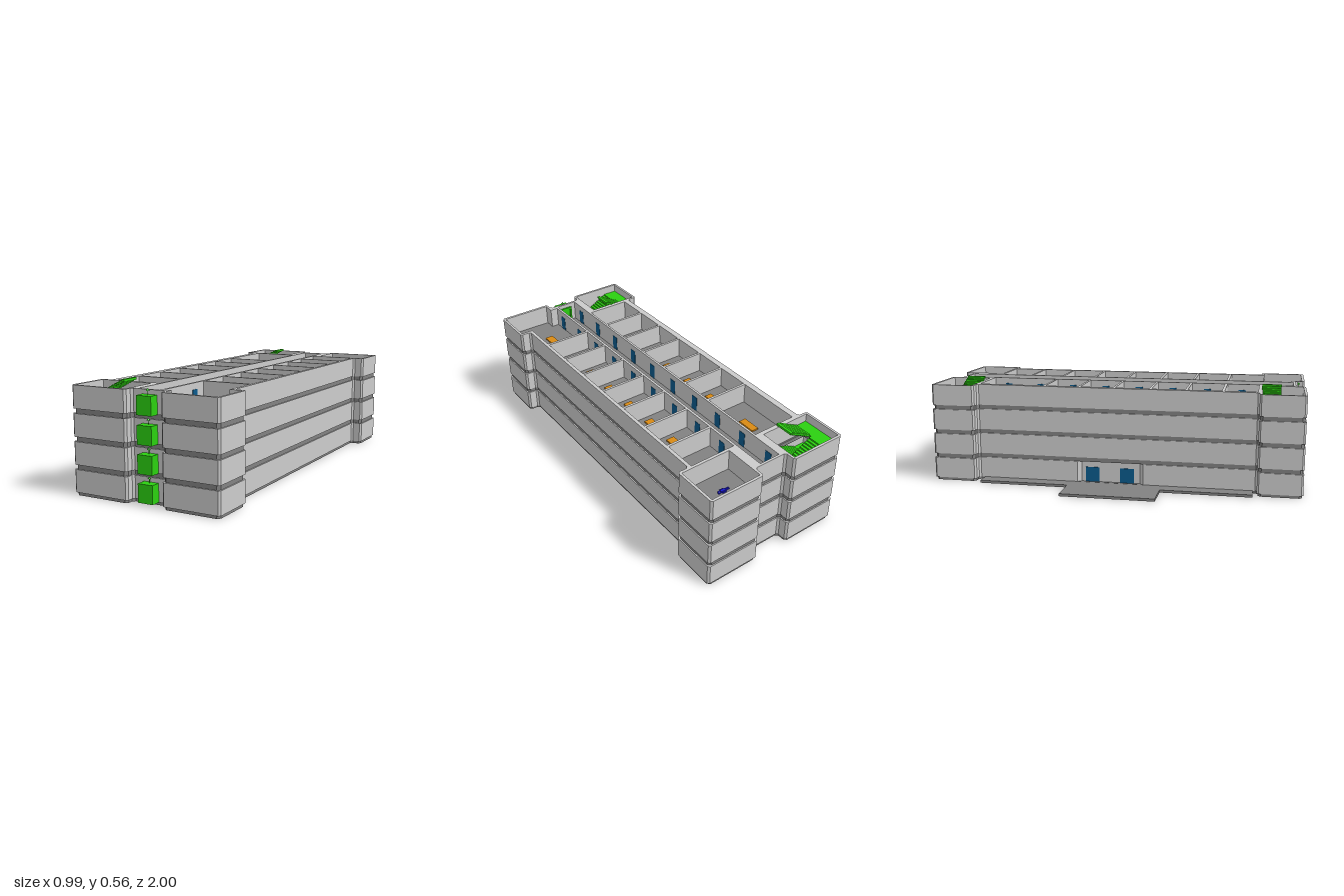
import * as THREE from 'three';

const mat = (color) => new THREE.MeshStandardMaterial({ color, flatShading: true });
const wallMat = mat(0xcccccc), slabMat = mat(0x828282), green = mat(0x2bd010);
const blue = mat(0x0a5a8c), orange = mat(0xd98a14), red = mat(0xe01818), deepBlue = mat(0x1818d8);
const FLOORS = 4, PITCH = 0.135, SLAB = 0.015, WALL_H = 0.112;

function mesh(name, geometry, material, x = 0, y = 0, z = 0) {
  const m = new THREE.Mesh(geometry, material);
  m.name = name;
  m.position.set(x, y, z);
  return m;
}
const box = (name, material, w, h, d, x, y, z) => mesh(name, new THREE.BoxGeometry(w, h, d), material, x, y, z);

// Plan outline as [x, z] corners; the ground floor has a shallow entrance recess
function outline(recessed) {
  const recess = recessed ? [[-0.236, -0.19], [-0.236, 0.15]] : [];
  const west = recessed ? [[-0.255, -0.19], ...recess, [-0.255, 0.15]] : [];
  return [
    [-0.31, 0.995], [0, 0.995], [0, 0.945], [0.19, 0.945], [0.19, 0.995], [0.49, 0.995],
    [0.49, 0.755], [0.43, 0.755], [0.43, -0.755], [0.49, -0.755], [0.49, -1], [0.187, -1],
    [0.187, -0.94], [0, -0.94], [0, -1], [-0.31, -1], [-0.31, -0.76], [-0.255, -0.76],
    ...west, [-0.255, 0.76], [-0.31, 0.76],
  ];
}

// Offsets a right-angled outline inwards
function inset(pts, d) {
  const n = pts.length;
  return pts.map((p, i) => {
    const a = pts[(i + n - 1) % n], b = pts[(i + 1) % n];
    const inward = (s, e) => [Math.sign(e[1] - s[1]), -Math.sign(e[0] - s[0])];
    const u = inward(a, p), v = inward(p, b);
    return [p[0] + d * (u[0] + v[0]), p[1] + d * (u[1] + v[1])];
  });
}

// Cuts every corner by c
function chamfer(pts, c) {
  const n = pts.length;
  return pts.flatMap((p, i) => [pts[(i + n - 1) % n], pts[(i + 1) % n]].map((q) => {
    const t = c / Math.hypot(q[0] - p[0], q[1] - p[1]);
    return [p[0] + (q[0] - p[0]) * t, p[1] + (q[1] - p[1]) * t];
  }));
}

const toPoints = (pts) => pts.map(([x, z]) => new THREE.Vector2(x, -z));
const rect = (x0, x1, z0, z1) => [[x0, z0], [x1, z0], [x1, z1], [x0, z1]];

// Raises a plan with openings into a solid
function raise(pts, holes, height) {
  const shape = new THREE.Shape(toPoints(pts));
  holes.forEach((h) => shape.holes.push(new THREE.Path(toPoints(h))));
  return new THREE.ExtrudeGeometry(shape, { depth: height, bevelEnabled: false }).rotateX(-Math.PI / 2);
}

// Room spans along z on each side of the corridor
const SHARED = [[-0.38, -0.2], [-0.187, -0.01], [0.003, 0.185], [0.198, 0.375], [0.388, 0.565]];
const LEFT = [[-0.75, -0.393], ...SHARED, [0.58, 0.75]];
const RIGHT = [[-0.567, -0.393], ...SHARED];
const ROOMS = [
  ...LEFT.map(([a, b]) => rect(-0.222, 0.02, a, b)),
  ...RIGHT.map(([a, b]) => rect(0.16, 0.412, a, b)),
  rect(0.16, 0.412, -0.755, -0.58),
  rect(0.2, 0.477, -0.987, -0.77),
  [[0.16, 0.58], [0.412, 0.58], [0.412, 0.77], [0.477, 0.77], [0.477, 0.98], [0.203, 0.98], [0.203, 0.92], [0.16, 0.92]],
  rect(0.032, 0.147, -0.928, 0.932),
  rect(-0.297, -0.012, 0.773, 0.982),
  rect(-0.297, -0.012, -0.987, -0.773),
];

// Two flights and a half landing; side = 1 for the front tower, -1 for the back
function stairs(side) {
  const g = new THREE.Group();
  g.name = side > 0 ? 'frontStairs' : 'backStairs';
  const n = 9, run = 0.13 / n, rise = PITCH / 2 / n;
  for (let i = 0; i < n; i++) {
    const low = rise * (i + 1), high = PITCH / 2 + low;
    g.add(box('lowerStep', green, run, 0.012, 0.108, -0.1 - run * (i + 0.5), low - 0.006, side * 0.933));
    g.add(box('upperStep', green, run, 0.012, 0.1, -0.23 + run * (i + 0.5), high - 0.006, side * 0.817));
  }
  g.add(box('landing', green, 0.074, 0.01, 0.22, -0.267, PITCH / 2 - 0.005, side * 0.877));
  return g;
}

// Green box on the front wall with an upward arrow and an inner frame
function lift() {
  const g = new THREE.Group();
  g.name = 'lift';
  g.add(box('liftBox', green, 0.08, 0.09, 0.065, 0.1, 0.045, 0.9625));
  g.add(mesh('arrowShaft', new THREE.CylinderGeometry(0.002, 0.002, 0.022, 8), green, 0.1, 0.1, 0.96));
  g.add(mesh('arrowHead', new THREE.ConeGeometry(0.008, 0.012, 12), green, 0.1, 0.115, 0.96));
  for (const s of [-1, 1]) {
    g.add(box('framePost', green, 0.01, 0.09, 0.01, 0.1 + s * 0.036, 0.045, 0.927));
    g.add(box('frameRail', green, 0.062, 0.01, 0.01, 0.1, 0.045 + s * 0.04, 0.927));
  }
  return g;
}

// Small pictogram figure lying on the floor
function figure(name, material, z) {
  const g = new THREE.Group();
  g.name = name;
  g.add(mesh('head', new THREE.SphereGeometry(0.008, 10, 8), material, 0.026, 0, 0));
  g.add(box('body', material, 0.026, 0.008, 0.012, 0.004, 0, 0));
  for (const s of [-1, 1]) {
    g.add(box('arm', material, 0.022, 0.006, 0.004, 0.004, 0, s * 0.011));
    g.add(box('leg', material, 0.024, 0.006, 0.005, -0.02, 0, s * 0.0035));
  }
  g.position.set(0.32, 0.006, z);
  return g;
}

export function createModel() {
  const model = new THREE.Group();
  model.name = 'building';
  const slabPlan = chamfer(inset(outline(false), 0.006), 0.014);
  const wells = [rect(-0.29, -0.1, 0.78, 0.98), rect(-0.29, -0.1, -0.98, -0.78)];
  const mid = (r) => (r[0] + r[1]) / 2;

  for (let k = 0; k < FLOORS; k++) {
    const floor = new THREE.Group();
    floor.name = 'storey' + (k + 1);
    floor.position.y = k * PITCH + SLAB;

    // Floor slab, set back from the walls, and the walls with their rooms
    const thick = k ? PITCH - WALL_H : SLAB;
    floor.add(mesh('floorSlab', raise(slabPlan, k ? wells : [], thick), slabMat, 0, -thick, 0));
    floor.add(mesh('walls', raise(chamfer(outline(k === 0), 0.01), ROOMS, WALL_H), wallMat));

    // Doors along both sides of the corridor and at its back end
    for (let i = 0; i < 10; i++) {
      const z = -0.86 + i * 0.19;
      floor.add(box('leftDoor', blue, 0.016, 0.08, 0.04, 0.026, 0.04, z));
      floor.add(box('rightDoor', blue, 0.016, 0.08, 0.04, 0.154, 0.04, z));
    }
    floor.add(box('endDoor', blue, 0.065, 0.08, 0.01, 0.09, 0.04, -0.927));

    // Blank floor plaques in the rooms
    for (const r of LEFT) floor.add(box('roomPlaque', orange, 0.04, 0.008, 0.1, -0.1, 0.006, mid(r)));
    for (const r of [...RIGHT, [0.58, 0.92]])
      floor.add(box('roomPlaque', orange, 0.045, 0.008, 0.11, 0.29, 0.006, mid(r)));

    floor.add(figure('blueFigure', deepBlue, -0.88), figure('redFigure', red, -0.68));
    floor.add(stairs(1), stairs(-1), lift());
    model.add(floor);
  }

  // Entrance doors and the low terrace outside them
  for (const z of [-0.12, 0.07])
    model.add(box('entranceDoor', blue, 0.01, 0.08, 0.075, -0.235, SLAB + 0.04, z));
  const terrace = [[-0.25, -0.73], [-0.33, -0.73], [-0.33, -0.24], [-0.495, -0.24],
    [-0.495, 0.26], [-0.33, 0.26], [-0.33, 0.74], [-0.25, 0.74]];
  model.add(mesh('terrace', raise(terrace, [], SLAB - 0.001), slabMat));
  return model;
}
